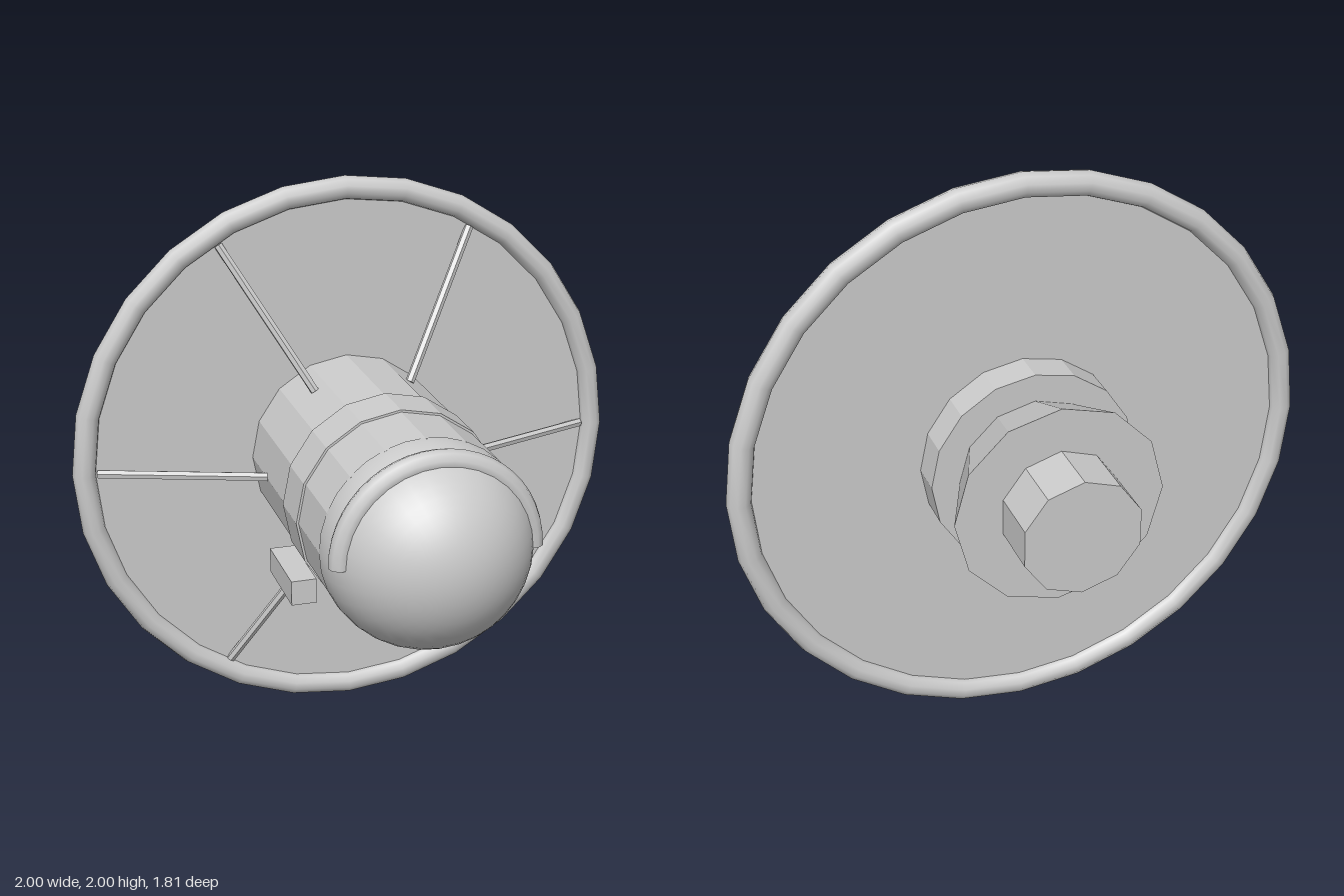
import * as THREE from 'three';

const smooth = new THREE.MeshStandardMaterial({ color: 0xcccccc });
const faceted = new THREE.MeshStandardMaterial({ color: 0xcccccc, flatShading: true });

export function createModel() {
  const model = new THREE.Group();
  // Everything is arranged around a long axis along z at height 1
  const craft = new THREE.Group();
  craft.name = 'craft';
  craft.position.y = 1;
  model.add(craft);

  const add = (name, geometry, material = faceted) => {
    const mesh = new THREE.Mesh(geometry, material);
    mesh.name = name;
    craft.add(mesh);
    return mesh;
  };

  // Closed cylinder or cone between two z positions
  const barrel = (name, zFront, rFront, zBack, rBack, sides) => {
    const g = new THREE.CylinderGeometry(rFront, rBack, zFront - zBack, sides);
    g.rotateX(Math.PI / 2);
    g.translate(0, 0, (zFront + zBack) / 2);
    return add(name, g);
  };

  // Hull, belt and engine
  barrel('hull', 0.56, 0.352, -0.475, 0.352, 16);
  barrel('hullBelt', 0.3, 0.36, 0.125, 0.36, 16);
  barrel('engineBell', -0.47, 0.255, -0.71, 0.355, 12);
  barrel('exhaust', -0.7, 0.203, -0.905, 0.203, 10);

  // Rounded nose
  const nose = new THREE.SphereGeometry(0.352, 32, 14, 0, Math.PI * 2, 0, Math.PI / 2);
  nose.rotateX(Math.PI / 2);
  add('nose', nose, smooth).position.z = 0.55;

  // Raised brow over the nose
  add('noseBrow', new THREE.TorusGeometry(0.318, 0.04, 10, 24, Math.PI), smooth).position.z = 0.675;

  // Large round sail with its rim
  const sail = new THREE.CylinderGeometry(0.955, 0.955, 0.02, 28);
  sail.rotateX(Math.PI / 2);
  add('sailDisc', sail).position.z = -0.347;
  add('sailRim', new THREE.TorusGeometry(0.956, 0.042, 10, 28), smooth).position.z = -0.347;

  // Six struts from the hull to the sail
  const up = new THREE.Vector3(0, 1, 0);
  for (let i = 0; i < 6; i++) {
    const a = (i * Math.PI) / 3;
    const at = (r, z) => new THREE.Vector3(r * Math.cos(a), r * Math.sin(a), z);
    const start = at(0.345, -0.135), end = at(0.91, -0.335);
    const dir = end.clone().sub(start);
    const strut = add('strut', new THREE.CylinderGeometry(0.016, 0.016, dir.length(), 6));
    strut.position.copy(start).add(end).multiplyScalar(0.5);
    strut.quaternion.setFromUnitVectors(up, dir.normalize());
  }

  // Side pods
  for (const s of [1, -1]) {
    const pod = add(s > 0 ? 'leftPod' : 'rightPod', new THREE.BoxGeometry(0.085, 0.085, 0.285));
    pod.position.set(s * 0.364, -0.2, 0.262);
  }

  return model;
}
